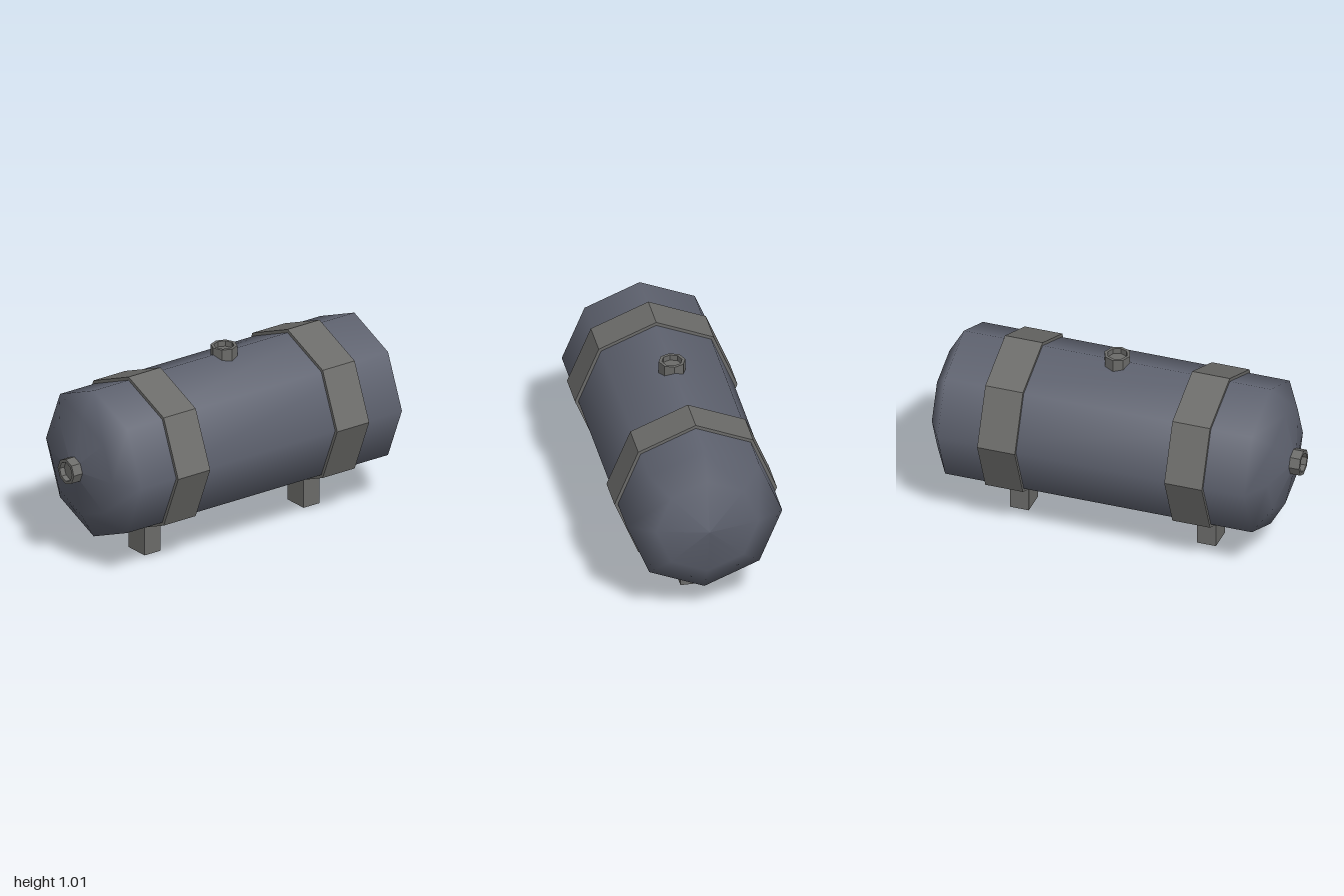
import * as THREE from 'three';

const SIDES = 8;
const CX = 0.02; // middle of the tank along its axis
const CY = 0.565; // height of the tank axis

const tankPaint = new THREE.MeshStandardMaterial({ color: 0x5f6370 });
const metal = new THREE.MeshStandardMaterial({ color: 0x6b6b69, flatShading: true });

// Octagonal turned part from [radius, height] pairs, listed bottom to top on the outside
function turned(name, profile, material) {
  const points = profile.map(([r, h]) => new THREE.Vector2(r, h));
  const mesh = new THREE.Mesh(new THREE.LatheGeometry(points, SIDES), material);
  mesh.name = name;
  return mesh;
}

// Short pipe socket with a recessed floor, opening towards local +y
function socket(name) {
  return turned(name, [[0.07, 0], [0.07, 0.085], [0.053, 0.085], [0.053, 0.055], [0, 0.055]], metal);
}

export function createModel() {
  const group = new THREE.Group();
  group.name = 'storageTank';

  // Vessel with domed ends, lying along x
  const vessel = turned('vessel', [
    [0, -0.98], [0.27, -0.92], [0.41, -0.84],
    [0.41, 0.84], [0.27, 0.92], [0, 0.98],
  ], tankPaint);
  vessel.rotation.z = -Math.PI / 2;
  vessel.position.set(CX, CY, 0);
  group.add(vessel);

  // Straps and the feet beneath them
  for (const side of [-1, 1]) {
    const label = side > 0 ? 'left' : 'right';
    const x = CX + side * 0.5125;

    const strap = turned(label + 'Strap',
      [[0.4, -0.103], [0.428, -0.103], [0.428, 0.103], [0.4, 0.103]], metal);
    strap.rotation.z = -Math.PI / 2;
    strap.position.set(x, CY, 0);
    group.add(strap);

    const foot = new THREE.Mesh(new THREE.BoxGeometry(0.104, 0.2, 0.14), metal);
    foot.name = label + 'Foot';
    foot.position.set(x, 0.1, 0);
    group.add(foot);
  }

  // Filler on top
  const filler = socket('fillerSocket');
  filler.position.set(CX, 0.928, 0);
  group.add(filler);

  // Outlet on the right end
  const outlet = socket('outletSocket');
  outlet.rotation.z = Math.PI / 2;
  outlet.position.set(-0.915, CY, 0);
  group.add(outlet);

  return group;
}
